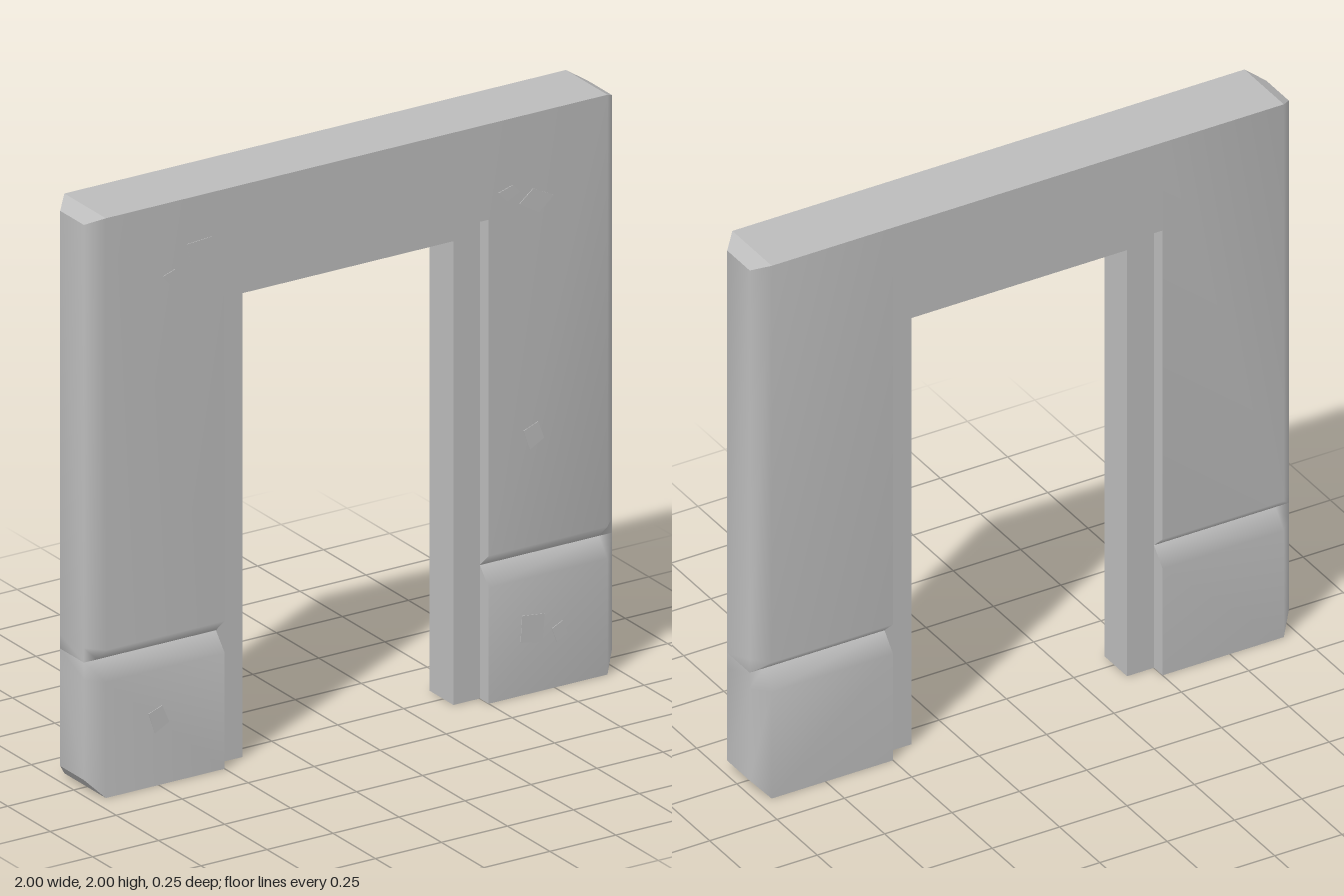
import * as THREE from 'three';

const FRONT = 0.112, BACK = -0.133;            // wall faces
const CORE_FRONT = 0.06, CORE_BACK = -0.08;    // recessed core faces
const INNER = 0.5, SHOULDER = 0.95, OUTER = 1; // pier positions in x

const stone = new THREE.MeshStandardMaterial({ color: 0xbcbcbc });
stone.name = 'grey stone';

function addMesh(parent, name, geometry) {
  const mesh = new THREE.Mesh(geometry, stone);
  mesh.name = name;
  parent.add(mesh);
  return mesh;
}

// One horizontal section of a pier, counterclockwise from above.
// y is the height of the broad faces, outerY that of the narrow end face.
function section(side, y, outerY = y, neck = false) {
  const f = neck ? CORE_FRONT : FRONT, b = neck ? CORE_BACK : BACK;
  return [
    [INNER, y, f], [SHOULDER, y, f], [OUTER, outerY, CORE_FRONT],
    [OUTER, outerY, CORE_BACK], [SHOULDER, y, b], [INNER, y, b],
  ].map(([x, py, z]) => [x * side, py, z]);
}

function fromQuads(points, quads, side) {
  const g = new THREE.BufferGeometry();
  g.setAttribute('position', new THREE.Float32BufferAttribute(points.flat(), 3));
  g.setIndex(quads.flatMap(([a, b, c, d]) =>
    side > 0 ? [a, b, c, a, c, d] : [a, c, b, a, d, c]));
  return g;
}

// Pier block: smooth wrap around the chamfers, flat jamb and end faces
function pierBlock(name, rows, side, endRow) {
  const group = new THREE.Group();
  group.name = name;
  const points = rows.flat(), wrap = [], flat = [];
  for (let r = 0; r < rows.length - 1; r++) {
    const lo = r * 6, hi = lo + 6;
    for (let j = 0; j < 5; j++) wrap.push([lo + j, lo + j + 1, hi + j + 1, hi + j]);
    flat.push([lo + 5, lo, hi, hi + 5]);
  }
  const e = endRow * 6;
  const caps = [[e, e + 1, e + 4, e + 5], [e + 1, e + 2, e + 3, e + 4]];
  flat.push(...(endRow === 0 ? caps.map((q) => q.reverse()) : caps));

  const skin = fromQuads(points, wrap, side);
  skin.computeVertexNormals();
  addMesh(group, name + 'Faces', skin);
  const ends = fromQuads(points, flat, side).toNonIndexed();
  ends.computeVertexNormals();
  addMesh(group, name + 'Ends', ends);
  return group;
}

// Corner points of the chips on the front face
const CHIPS = [
  [-0.644, 1.842, -0.548, 1.848, -0.532, 1.789, -0.628, 1.775],
  [-0.735, 1.751, -0.687, 1.767, -0.655, 1.735, -0.703, 1.714],
  [0.537, 1.754, 0.591, 1.770, 0.618, 1.741, 0.570, 1.717],
  [0.615, 1.698, 0.668, 1.741, 0.746, 1.701, 0.690, 1.652],
  [0.631, 0.912, 0.687, 0.933, 0.709, 0.872, 0.655, 0.842],
  [-0.789, 0.254, -0.738, 0.273, -0.711, 0.211, -0.765, 0.182],
  [0.626, 0.275, 0.711, 0.265, 0.703, 0.168, 0.620, 0.184],
  [0.738, 0.206, 0.778, 0.225, 0.799, 0.179, 0.757, 0.158],
];

export function createModel() {
  const model = new THREE.Group();
  model.name = 'stoneDoorway';

  // Left and right piers, each with a base below the groove and a shaft above it
  for (const side of [1, -1]) {
    const label = side > 0 ? 'left' : 'right';
    model.add(pierBlock(label + 'Base', [
      section(side, 0, 0.055), section(side, 0.4), section(side, 0.46, 0.46, true),
    ], side, 0));
    model.add(pierBlock(label + 'Shaft', [
      section(side, 0.46, 0.46, true), section(side, 0.51), section(side, 2, 1.97),
    ], side, 2));
  }

  // Lintel between the shafts
  const lintel = addMesh(model, 'lintel',
    new THREE.BoxGeometry(2 * INNER, 0.33, FRONT - BACK));
  lintel.position.set(0, 1.835, (FRONT + BACK) / 2);

  // Recessed door frame
  const outline = new THREE.Shape([
    [-0.5, 0], [-0.4, 0], [-0.4, 1.6], [0.4, 1.6],
    [0.4, 0], [0.5, 0], [0.5, 1.67], [-0.5, 1.67],
  ].map(([x, y]) => new THREE.Vector2(x, y)));
  const frame = addMesh(model, 'doorFrame', new THREE.ExtrudeGeometry(outline,
    { depth: CORE_FRONT - CORE_BACK, bevelEnabled: false }));
  frame.position.z = CORE_BACK;

  // Thin stone chips on the front face
  const chips = new THREE.Group();
  chips.name = 'stoneChips';
  for (const c of CHIPS) {
    const shape = new THREE.Shape();
    for (let i = 0; i < 8; i += 2) shape[i ? 'lineTo' : 'moveTo'](c[i], c[i + 1]);
    const chip = addMesh(chips, 'stoneChip',
      new THREE.ExtrudeGeometry(shape, { depth: 0.003, bevelEnabled: false }));
    chip.position.z = FRONT - 0.001;
  }
  model.add(chips);
  return model;
}
